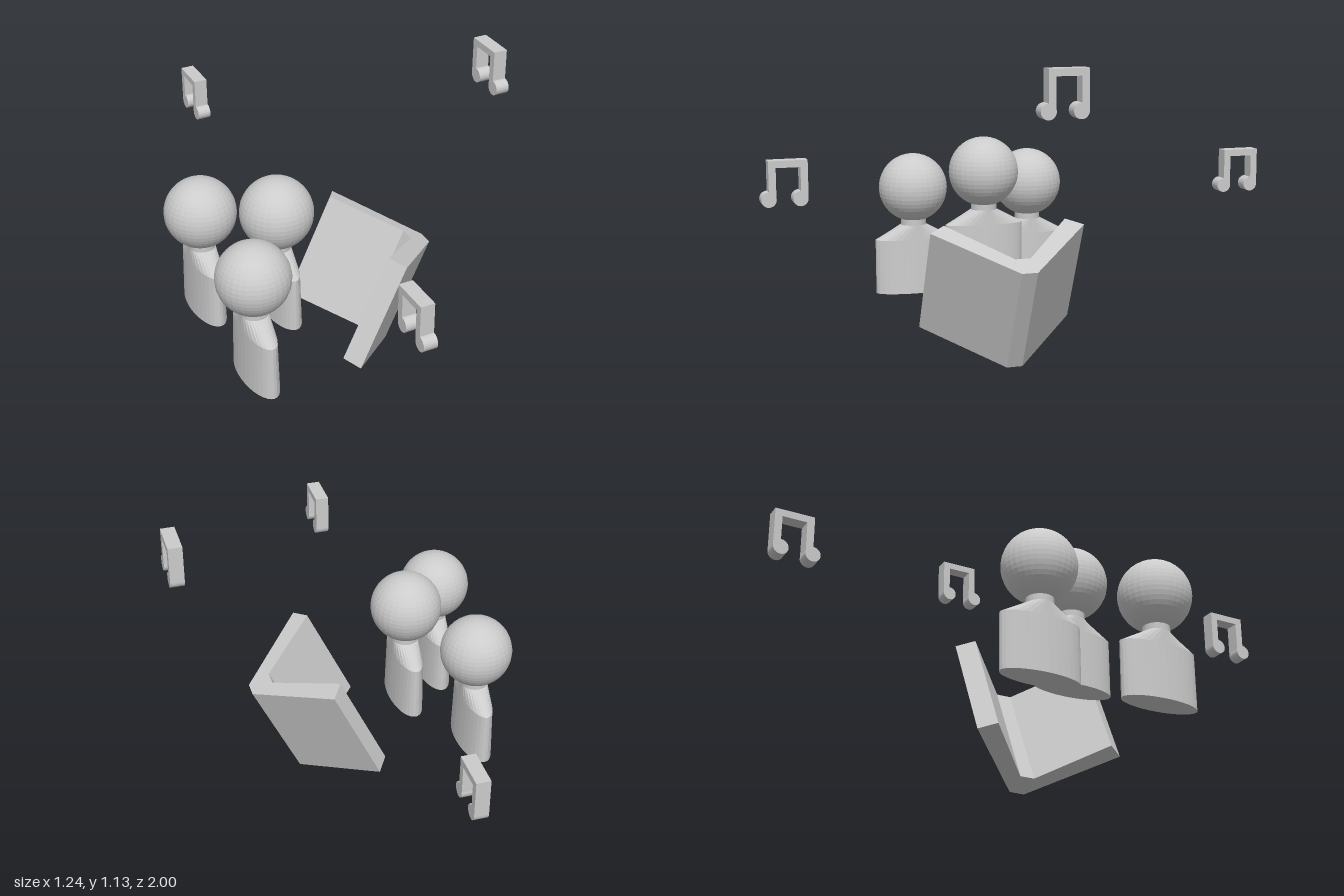
import * as THREE from 'three';

const flat = new THREE.MeshStandardMaterial({ color: 0xcccccc, flatShading: true });

function add(parent, name, geometry, x = 0, y = 0, z = 0) {
  const mesh = new THREE.Mesh(geometry, flat);
  mesh.name = name;
  mesh.position.set(x, y, z);
  parent.add(mesh);
  return mesh;
}

// Closed solid lofted through elliptical rings [y, halfWidthX, halfWidthZ]
function loft(rings, sides = 32) {
  const pos = [], index = [];
  for (const [y, rx, rz] of rings) {
    for (let i = 0; i < sides; i++) {
      const a = (i / sides) * Math.PI * 2;
      pos.push(rx * Math.sin(a), y, rz * Math.cos(a));
    }
  }
  const last = (rings.length - 1) * sides;
  const bottom = pos.length / 3, top = bottom + 1;
  pos.push(0, rings[0][0], 0, 0, rings[rings.length - 1][0], 0);
  for (let i = 0; i < sides; i++) {
    const j = (i + 1) % sides;
    for (let r = 0; r < last; r += sides) {
      index.push(r + i, r + j, r + sides + j, r + i, r + sides + j, r + sides + i);
    }
    index.push(bottom, j, i, top, last + i, last + j);
  }
  const g = new THREE.BufferGeometry();
  g.setAttribute('position', new THREE.Float32BufferAttribute(pos, 3));
  g.setIndex(index);
  g.computeVertexNormals();
  return g;
}

const polygon = (points) => new THREE.Shape(points.map(([x, y]) => new THREE.Vector2(x, y)));

// Bust: flat oval torso, sloping shoulders, neck and ball head
function singer(x, y, z) {
  const g = new THREE.Group();
  g.name = 'singer';
  g.position.set(x, y, z);
  add(g, 'torso', loft([[0, 0.06, 0.155], [0.215, 0.052, 0.155], [0.272, 0.05, 0.05], [0.32, 0.05, 0.05]]));
  add(g, 'head', new THREE.SphereGeometry(0.135, 32, 24), 0, 0.42, 0);
  return g;
}

// Pair of beamed notes, drawn in the z-y plane and extruded along x
function musicNote(x, y, z) {
  const g = new THREE.Group();
  g.name = 'musicNote';
  g.position.set(x, y, z);
  g.rotation.y = Math.PI / 2;
  const depth = 0.052, r = 0.028;
  const frame = polygon([
    [0.028, r], [0.055, r], [0.055, 0.144], [0.145, 0.144],
    [0.145, r], [0.172, r], [0.172, 0.17], [0.028, 0.17],
  ]);
  add(g, 'stemsAndBeam', new THREE.ExtrudeGeometry(frame, { depth, bevelEnabled: false }));
  for (const cx of [r, 0.144]) {
    const head = new THREE.CylinderGeometry(r, r, depth, 24).rotateX(Math.PI / 2);
    add(g, 'noteHead', head, cx, r, depth / 2);
  }
  return g;
}

// Open songbook: V-shaped section extruded along a leaning spine
function songbook() {
  const half = [[0, 0.03], [0.275, 0.297], [0.32, 0.235], [0.088, 0.029]];
  const mirrored = half.map(([v, z]) => [v, -z]).reverse();
  const shape = polygon([...half, ...mirrored]);
  const g = new THREE.Group();
  g.name = 'songbook';
  const book = add(g, 'openCovers', new THREE.ExtrudeGeometry(shape, { depth: 0.43, bevelEnabled: false }));
  const c = Math.cos(0.435), s = Math.sin(0.435);
  g.quaternion.setFromRotationMatrix(new THREE.Matrix4().makeBasis(
    new THREE.Vector3(-c, s, 0), new THREE.Vector3(0, 0, 1), new THREE.Vector3(s, c, 0)));
  g.position.set(0.145, 0.0, 0.13);
  book.castShadow = true;
  return g;
}

export function createModel() {
  const model = new THREE.Group();
  model.name = 'choir';
  model.add(
    singer(-0.486, 0.17, 0.348),
    singer(-0.486, 0.17, -0.13),
    singer(-0.288, 0.25, 0.115),
    songbook(),
    musicNote(0.567, 0.965, 0.192),
    musicNote(-0.184, 0.597, 1.0),
    musicNote(-0.206, 0.558, -0.827),
  );
  return model;
}
